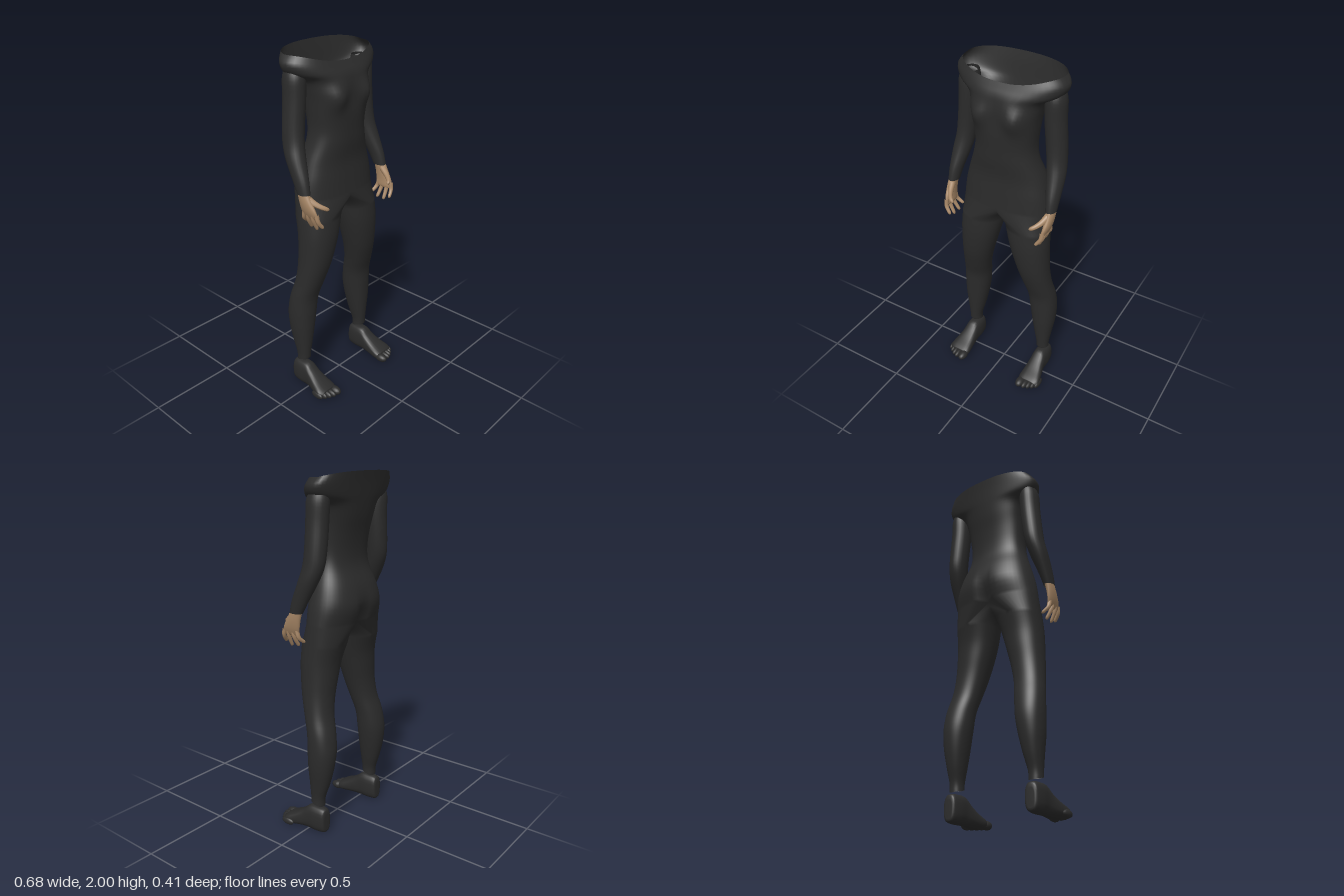
import * as THREE from 'three';
import { mergeGeometries, mergeVertices } from 'three/addons/utils/BufferGeometryUtils.js';

const V = (x, y, z) => new THREE.Vector3(x, y, z);
const N = 24;

// Smoothly subdivides a table of section rows.
function smoothRows(rows, steps = 4) {
  const out = [];
  for (let i = 0; i < rows.length - 1; i++) {
    const [p, a, b, n] = [rows[Math.max(0, i - 1)], rows[i], rows[i + 1], rows[Math.min(rows.length - 1, i + 2)]];
    for (let s = 0; s < steps; s++) {
      const t = s / steps;
      out.push(a.map((v, k) => v + 0.5 * t * (b[k] - p[k]
        + t * (2 * p[k] - 5 * v + 4 * b[k] - n[k] + t * (3 * (v - b[k]) + n[k] - p[k])))));
    }
  }
  out.push(rows[rows.length - 1]);
  return out;
}

// Skins a list of rings; rings run counter-clockwise about the loft direction.
function loft(rings, closed = true, caps = false) {
  const n = rings[0].length, pos = [], idx = [];
  rings.forEach(r => r.forEach(p => pos.push(p.x, p.y, p.z)));
  const span = closed ? n : n - 1;
  for (let i = 0; i < rings.length - 1; i++) {
    for (let k = 0; k < span; k++) {
      const a = i * n + k, b = i * n + (k + 1) % n;
      idx.push(a, b, a + n, b, b + n, a + n);
    }
  }
  if (caps) [0, rings.length - 1].forEach(i => {
    const c = rings[i].reduce((s, p) => s.add(p), V(0, 0, 0)).divideScalar(n);
    const ci = pos.length / 3;
    pos.push(c.x, c.y, c.z);
    for (let k = 0; k < n; k++) {
      const a = i * n + k, b = i * n + (k + 1) % n;
      i ? idx.push(a, b, ci) : idx.push(b, a, ci);
    }
  });
  const g = new THREE.BufferGeometry();
  g.setAttribute('position', new THREE.Float32BufferAttribute(pos, 3));
  g.setIndex(idx);
  g.computeVertexNormals();
  return g;
}

// Mirrors a geometry across x = 0, keeping its faces outward.
function mirrored(geo) {
  const g = geo.clone().scale(-1, 1, 1), ix = g.index.array;
  for (let i = 0; i < ix.length; i += 3) [ix[i], ix[i + 1]] = [ix[i + 1], ix[i]];
  g.computeVertexNormals();
  return g;
}

const spow = (v, e) => Math.sign(v) * Math.pow(Math.abs(v) < 1e-9 ? 0 : Math.abs(v), e);
const bell = (v, w) => Math.exp(-(v * v) / (w * w));

// Half a torso section, from the front centre round the side to the back centre.
function torsoHalf([y, hw, zf, zb, zm, e, rim]) {
  return Array.from({ length: N + 1 }, (_, k) => {
    const t = Math.PI * k / N, c = Math.cos(t);
    const x = k % N ? hw * spow(Math.sin(t), e) : 0;
    let z = zm + (c > 0 ? zf - zm : zm - zb) * spow(c, e);
    if (c > 0) z += c * (0.028 * bell(x - 0.11, 0.05) * bell(y - 1.75, 0.06) - 0.012 * bell(x, 0.05) * bell(y - 1.76, 0.08));
    else z += 0.045 * bell(x, 0.035) * bell(y - 1.2, 0.11);
    const lift = c > 0 ? -0.045 * c * c * c : 0.028 * -c;
    return V(x, y + rim * lift, z);
  });
}

// Whole horizontal oval section.
const oval = ([y, x, z, rx, rz]) => Array.from({ length: N }, (_, k) => {
  const t = 2 * Math.PI * k / N;
  return V(x + rx * Math.sin(t), y, z + rz * Math.cos(t));
});

// Torso and legs as one skin, open at the shoulders and ankles.
function bodyGeometry() {
  // y, half width, front z, back z, middle z, roundness, rim tilt
  const torso = smoothRows([
    [1.20, 0.262, 0.088, -0.170, -0.04, 0.85, 0],
    [1.30, 0.248, 0.082, -0.195, -0.04, 0.85, 0],
    [1.40, 0.221, 0.078, -0.175, -0.04, 0.85, 0],
    [1.50, 0.186, 0.090, -0.137, -0.03, 0.85, 0],
    [1.58, 0.173, 0.095, -0.130, -0.03, 0.85, 0],
    [1.68, 0.180, 0.103, -0.142, -0.03, 0.82, 0],
    [1.77, 0.192, 0.108, -0.162, -0.04, 0.8, 0],
    [1.84, 0.215, 0.095, -0.175, -0.06, 0.82, 0],
    [1.88, 0.290, 0.082, -0.182, -0.08, 0.9, 0.1],
    [1.93, 0.313, 0.064, -0.192, -0.09, 0.9, 0.6],
    [1.972, 0.285, 0.048, -0.202, -0.10, 0.85, 1],
  ]).map(torsoHalf);
  // y, inner x, outer x, front z, back z
  const leg = smoothRows([
    [0.175, 0.210, 0.284, -0.018, -0.095],
    [0.22, 0.208, 0.285, -0.015, -0.100],
    [0.30, 0.190, 0.295, -0.008, -0.125],
    [0.40, 0.170, 0.308, 0.000, -0.147],
    [0.50, 0.154, 0.312, 0.005, -0.155],
    [0.60, 0.142, 0.306, 0.012, -0.140],
    [0.70, 0.122, 0.291, 0.042, -0.113],
    [0.80, 0.096, 0.281, 0.070, -0.104],
    [0.90, 0.067, 0.276, 0.087, -0.108],
    [1.00, 0.039, 0.273, 0.095, -0.117],
    [1.10, 0.013, 0.268, 0.093, -0.142],
  ]).map(([y, xi, xo, zf, zb], i) => {
    const ring = oval([y, (xi + xo) / 2, (zf + zb) / 2, (xo - xi) / 2, (zf - zb) / 2]);
    const full = Array.from({ length: 2 * N }, (_, k) => {
      const t = Math.PI * k / N, e = 0.92;
      return V((xi + xo) / 2 + (xo - xi) / 2 * spow(Math.sin(t), e), y, (zf + zb) / 2 + (zf - zb) / 2 * spow(Math.cos(t), e));
    });
    if (i === 0) full.forEach(p => { p.y += 0.35 * (p.z + 0.06); });
    return ring && full;
  });
  // Crotch strip joining the back centre to the front centre.
  const hip = torso[0], front = hip[0], back = hip[N];
  const strip = Array.from({ length: N - 1 }, (_, j) => {
    const t = (j + 1) / N;
    return V(0, 1.2 - 0.07 * Math.pow(Math.sin(Math.PI * t), 0.6), back.z + (front.z - back.z) * t);
  });
  leg.push([...hip, ...strip]);
  const half = mergeGeometries([loft(torso, false), loft(leg)]);
  const g = mergeGeometries([half, mirrored(half)]);
  g.deleteAttribute('normal');
  const welded = mergeVertices(g, 1e-4);
  welded.computeVertexNormals();
  return welded;
}

// Rounded, tapering finger along a curve.
function finger(points, r0, r1) {
  const curve = new THREE.CatmullRomCurve3(points.map(p => V(...p)));
  const seg = 16, g = new THREE.TubeGeometry(curve, seg, 1, 10), p = g.attributes.position, v = V(0, 0, 0);
  for (let i = 0; i < p.count; i++) {
    const u = Math.floor(i / 11) / seg, c = curve.getPointAt(u);
    const round = u > 0.85 ? Math.sqrt(Math.max(0, 1 - ((u - 0.85) / 0.15) ** 2)) : 1;
    v.fromBufferAttribute(p, i).sub(c).multiplyScalar((r0 + (r1 - r0) * u) * round).add(c);
    p.setXYZ(i, v.x, v.y, v.z);
  }
  g.computeVertexNormals();
  return g;
}

export function createModel() {
  const model = new THREE.Group();
  model.name = 'figure';
  const suit = new THREE.MeshStandardMaterial({ color: 0x2b2b2b, side: THREE.DoubleSide });
  suit.name = 'charcoal suit';
  const skin = new THREE.MeshStandardMaterial({ color: 0xa58565 });
  skin.name = 'tan skin';
  const add = (name, geo, mat) => {
    const m = new THREE.Mesh(geo, mat);
    m.name = name;
    model.add(m);
  };
  const pair = (name, geo, mat) => {
    add('left' + name, geo, mat);
    add('right' + name, mirrored(geo), mat);
  };

  add('body', bodyGeometry(), suit);

  // Sleeves: y, x, z, x radius, z radius
  pair('Arm', loft(smoothRows([
    [1.28, 0.306, 0.034, 0.029, 0.040],
    [1.35, 0.301, 0.008, 0.037, 0.050],
    [1.45, 0.289, -0.036, 0.050, 0.058],
    [1.53, 0.277, -0.062, 0.053, 0.062],
    [1.62, 0.267, -0.070, 0.056, 0.062],
    [1.75, 0.255, -0.071, 0.057, 0.063],
    [1.85, 0.252, -0.073, 0.056, 0.064],
    [1.90, 0.250, -0.077, 0.044, 0.052],
  ]).map(oval)), suit);

  // Palms
  pair('Palm', loft(smoothRows([
    [1.152, 0.297, 0.080, 0.007, 0.045],
    [1.165, 0.300, 0.077, 0.013, 0.053],
    [1.20, 0.307, 0.067, 0.018, 0.053],
    [1.25, 0.310, 0.047, 0.022, 0.043],
    [1.31, 0.307, 0.024, 0.024, 0.034],
  ]).map(oval), true, true), skin);

  // Fingers, little to index, then thumb
  const tips = [[0.262, 1.112, 0.014], [0.266, 1.086, 0.052], [0.270, 1.082, 0.096], [0.270, 1.103, 0.138]];
  tips.forEach(([x, y, z], i) => {
    const bz = 0.036 + i * 0.028;
    pair('Finger' + (i + 1), finger([[0.304, 1.185, bz], [0.299, 1.145, (bz + z) / 2], [x, y, z]], 0.0135, 0.009), skin);
  });
  pair('Thumb', finger([[0.306, 1.262, 0.055], [0.286, 1.232, 0.105], [0.262, 1.215, 0.138], [0.238, 1.203, 0.153]], 0.020, 0.010), skin);

  // Feet: z, centre x, half width, top y, bottom y
  pair('Foot', loft(smoothRows([
    [-0.120, 0.250, 0.022, 0.120, 0.022],
    [-0.110, 0.250, 0.037, 0.150, 0.006],
    [-0.060, 0.250, 0.045, 0.156, 0.002],
    [-0.010, 0.250, 0.045, 0.153, 0.004],
    [0.030, 0.251, 0.050, 0.120, 0.005],
    [0.080, 0.255, 0.060, 0.088, 0.003],
    [0.130, 0.258, 0.068, 0.063, 0.002],
    [0.155, 0.254, 0.056, 0.048, 0.008],
  ]).map(([z, x, hw, top, low]) => Array.from({ length: N }, (_, k) => {
    const t = 2 * Math.PI * k / N;
    return V(x + hw * spow(Math.cos(t), 0.75), (top + low) / 2 + (top - low) / 2 * spow(Math.sin(t), 0.75), z);
  })), true, true), suit);

  // Toes, big to little: x, tip z, radius
  [[0.214, 0.205, 0.026], [0.249, 0.202, 0.017], [0.274, 0.192, 0.016], [0.297, 0.177, 0.015], [0.317, 0.160, 0.015]]
    .forEach(([x, tip, r], i) => {
      const g = new THREE.SphereGeometry(1, 16, 12).scale(r, Math.max(0.021, r * 0.95), 0.042).translate(x, 0.025, tip - 0.042);
      pair('Toe' + (i + 1), g, suit);
    });
  return model;
}
